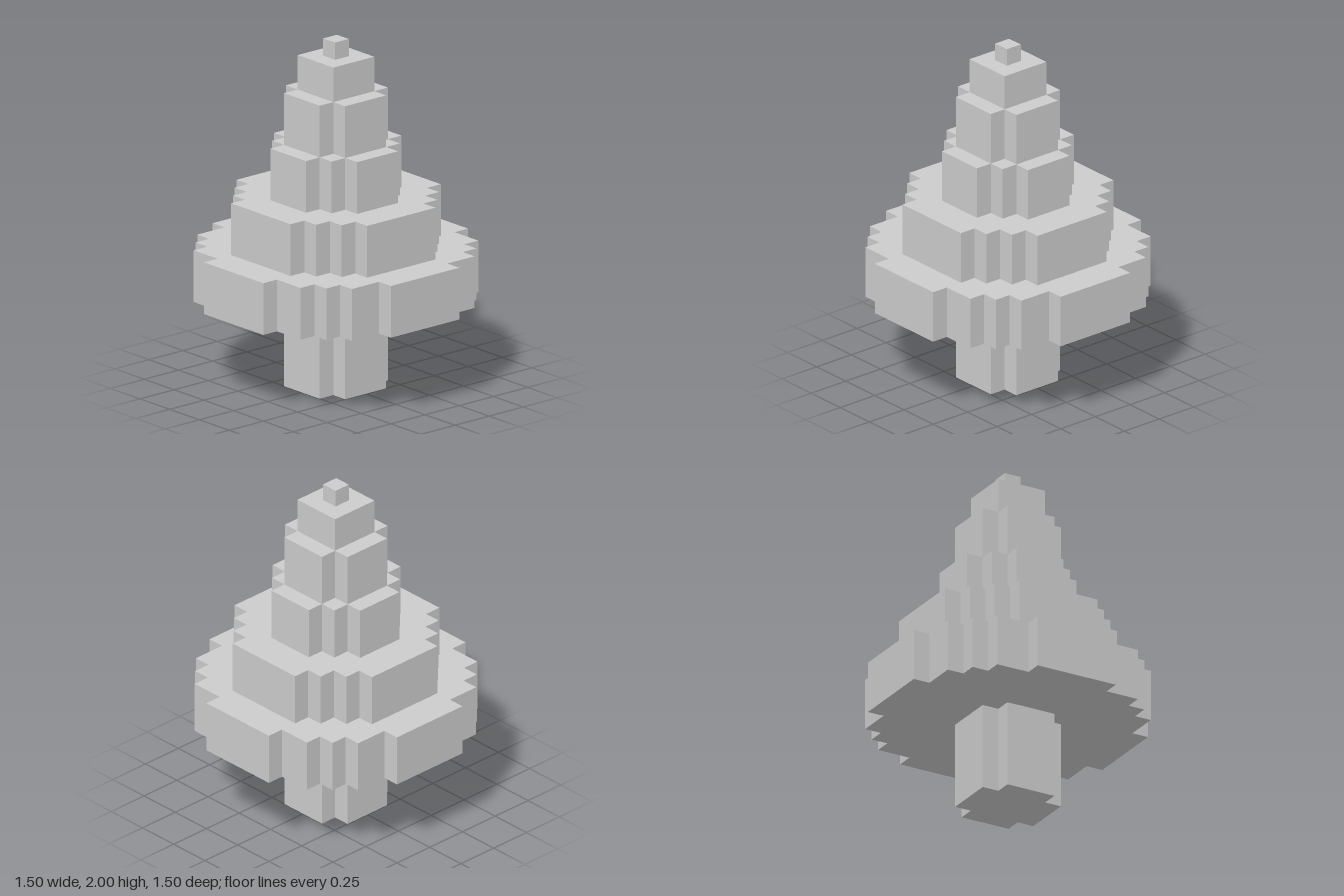
import * as THREE from 'three';

// Each tier: name, bottom, top, and the outward corners of one quarter of its stepped outline.
const TIERS = [
  ['trunk', 0, 0.5, [[0.25, 0.15], [0.15, 0.25]]],
  ['lowestBranches', 0.5, 0.8, [[0.75, 0.25], [0.65, 0.45], [0.55, 0.55], [0.45, 0.65], [0.25, 0.75]]],
  ['lowerBranches', 0.8, 1.1, [[0.55, 0.25], [0.45, 0.35], [0.35, 0.45], [0.25, 0.55]]],
  ['middleBranches', 1.1, 1.4, [[0.35, 0.15], [0.25, 0.25], [0.15, 0.35]]],
  ['upperBranches', 1.4, 1.7, [[0.25, 0.15], [0.15, 0.25]]],
  ['crown', 1.7, 1.9, [[0.15, 0.15]]],
  ['tip', 1.9, 2, [[0.05, 0.05]]],
];

// Blocky round outline: the quarter's corners and notches, turned four times.
function steppedShape(corners) {
  const quarter = [];
  corners.forEach(([x, y], i) => {
    if (i > 0) quarter.push([x, corners[i - 1][1]]);
    quarter.push([x, y]);
  });
  const points = [];
  for (let turn = 0; turn < 4; turn++) {
    for (const [x, y] of quarter) {
      const turned = [[x, y], [-y, x], [-x, -y], [y, -x]][turn];
      points.push(new THREE.Vector2(...turned));
    }
  }
  return new THREE.Shape(points);
}

export function createModel() {
  const tree = new THREE.Group();
  tree.name = 'blockTree';
  const material = new THREE.MeshStandardMaterial({ color: 0xcccccc, flatShading: true });

  // Stack the tiers from trunk to tip
  for (const [name, bottom, top, corners] of TIERS) {
    const geometry = new THREE.ExtrudeGeometry(steppedShape(corners), {
      depth: top - bottom,
      bevelEnabled: false,
    });
    geometry.rotateX(-Math.PI / 2);
    const tier = new THREE.Mesh(geometry, material);
    tier.name = name;
    tier.position.y = bottom;
    tree.add(tier);
  }
  return tree;
}
